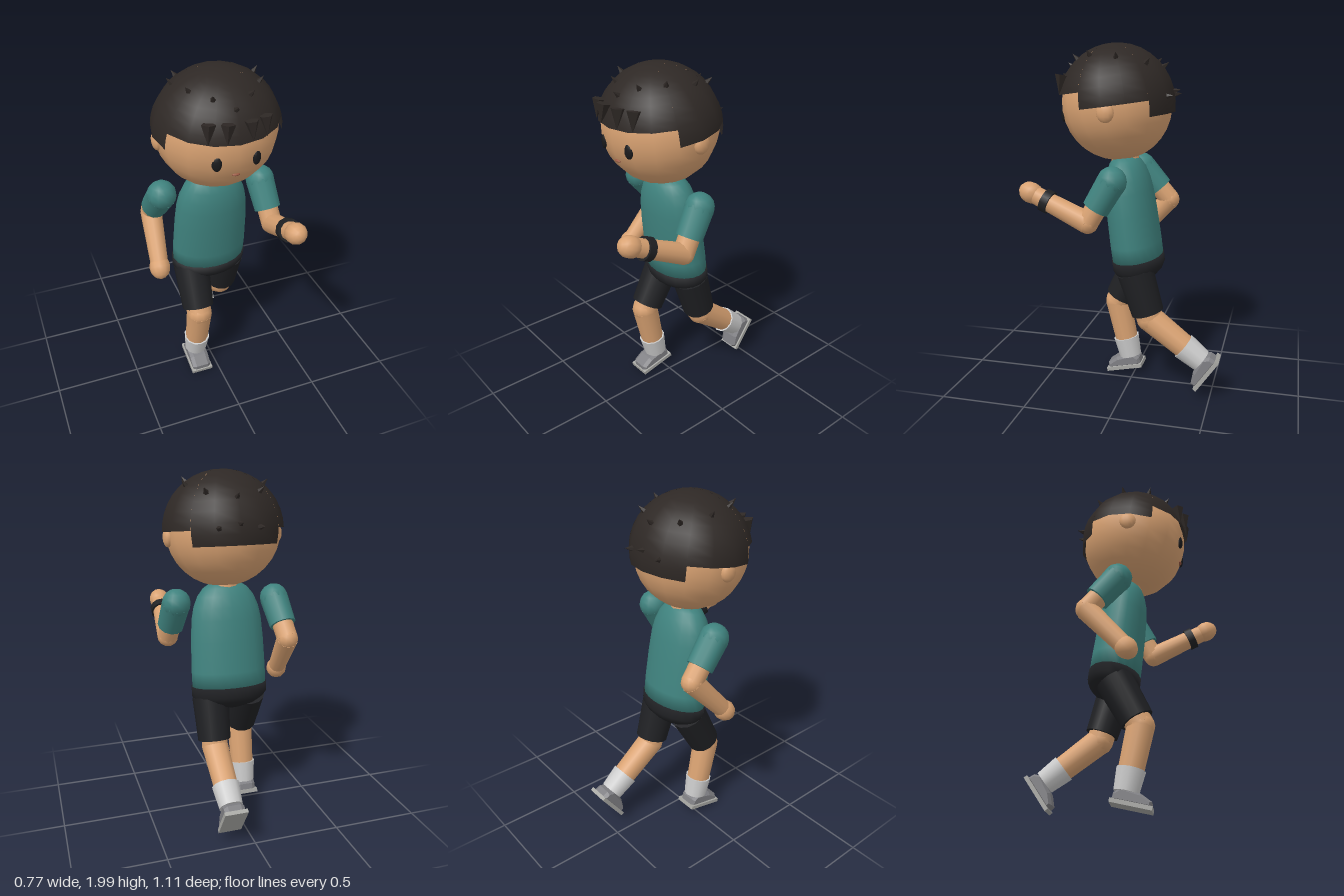
import * as THREE from 'three';

const COLORS = {
  skin: 0xd9a272, hair: 0x2e2825, shirt: 0x3f827e, shorts: 0x1f2023,
  sock: 0xe0e0dc, shoe: 0x808084, sole: 0xa8a8a4, dark: 0x1a1a1c, mouth: 0x9a5a44,
};
const MATS = {};
for (const key in COLORS) {
  MATS[key] = new THREE.MeshStandardMaterial({ color: COLORS[key], side: THREE.DoubleSide });
}
const spikeMat = new THREE.MeshStandardMaterial({ color: COLORS.hair, flatShading: true });

const V = (x, y, z) => new THREE.Vector3(x, y, z);
const UP = V(0, 1, 0);
const CX = 0.008;      // body centre line
const LEAN = 0.135;    // forward lean of torso and head

function add(parent, name, geo, mat, pos) {
  const m = new THREE.Mesh(geo, mat);
  m.name = name;
  if (pos) m.position.copy(pos);
  parent.add(m);
  return m;
}

// tapered cylinder from a to b
function limb(parent, name, a, b, ra, rb, mat, sides = 12) {
  const d = b.clone().sub(a);
  const m = add(parent, name, new THREE.CylinderGeometry(rb, ra, d.length(), sides), mat,
    a.clone().add(b).multiplyScalar(0.5));
  m.quaternion.setFromUnitVectors(UP, d.normalize());
  return m;
}

function ball(parent, name, p, rx, ry, rz, mat, w = 12, h = 8) {
  return add(parent, name, new THREE.SphereGeometry(1, w, h).scale(rx, ry, rz), mat, p);
}

function spike(parent, name, base, dir, r, len) {
  const d = dir.clone().normalize();
  const m = add(parent, name, new THREE.ConeGeometry(r, len, 5), spikeMat,
    base.clone().addScaledVector(d, len / 2));
  m.quaternion.setFromUnitVectors(UP, d);
}

function buildHead(root) {
  const c = V(CX, 1.67, 0.075);
  const head = new THREE.Group();
  head.name = 'head';
  head.position.copy(c);
  head.rotation.x = LEAN;
  root.add(head);
  ball(head, 'face', V(0, 0, 0), 0.328, 0.316, 0.31, MATS.skin, 16, 16);

  // hair cap in sectors, each ending at its own height: [start, end, rim height]
  const R = V(0.345, 0.33, 0.328);
  const sectors = [[22.5, 157.5, 0.088], [157.5, 225, 0], [225, 315, -0.085], [315, 382.5, 0]];
  for (const [from, to, y] of sectors) {
    const geo = new THREE.SphereGeometry(1, Math.round((to - from) / 22.5), 10,
      THREE.MathUtils.degToRad(from), THREE.MathUtils.degToRad(to - from), 0, Math.acos(y / R.y));
    add(head, 'hairCap', geo.scale(R.x, R.y, R.z), MATS.hair);
  }

  // ears, eyes, mouth
  for (const s of [-1, 1]) {
    ball(root, 'ear', V(CX + s * 0.318, 1.64, 0.06), 0.028, 0.053, 0.048, MATS.skin);
    const eye = ball(root, 'eye', V(CX + s * 0.107, 1.61, 0.357), 0.026, 0.041, 0.014, MATS.dark);
    eye.rotation.y = s * 0.35;
  }
  ball(root, 'mouth', V(CX, 1.53, 0.35), 0.022, 0.008, 0.012, MATS.mouth);

  // short spikes standing out from the cap: offsets [x, y, z] from the head centre
  const spots = [[0, 0.2, 0.26], [0, 0.21, -0.27], [0, 0.08, -0.36]];
  for (const s of [-1, 1]) {
    spots.push([s * 0.1, 0.25, 0.21], [s * 0.185, 0.26, 0.105], [s * 0.23, 0.26, -0.05],
      [s * 0.155, 0.23, -0.2], [s * 0.12, 0.05, -0.32]);
  }
  for (const [x, y, z] of spots) {
    const d = V(x, y, z);
    const k = 1 / Math.hypot(x / R.x, y / R.y, z / R.z);
    spike(root, 'hairSpike', c.clone().addScaledVector(d, k * 0.97), d, 0.018, 0.047);
  }
  // fringe tufts hanging over the forehead
  for (const s of [-1, 1]) {
    for (const [x, z] of [[0.06, 0.382], [0.147, 0.35]]) {
      spike(root, 'fringe', V(CX + s * x, 1.825, z), V(s * 0.008, -0.1, 0.016), 0.038, 0.105);
    }
  }
}

function buildTorso(root) {
  const torso = new THREE.Group();
  torso.name = 'torso';
  torso.position.set(CX, 0.78, -0.045);
  torso.rotation.x = LEAN;
  root.add(torso);
  const lathe = (name, pts, mat) => add(torso, name,
    new THREE.LatheGeometry(pts.map(p => new THREE.Vector2(...p)), 20).scale(1, 1, 0.66), mat);
  lathe('shirt', [[0, -0.01], [0.219, -0.01], [0.22, 0.1], [0.214, 0.28], [0.205, 0.4], [0.19, 0.47],
    [0.165, 0.53], [0.13, 0.575], [0.09, 0.6], [0, 0.605]], MATS.shirt);
  lathe('shortsHip', [[0, -0.125], [0.08, -0.12], [0.15, -0.1], [0.2, -0.07], [0.224, -0.04],
    [0.226, 0.015], [0, 0.015]], MATS.shorts);
  limb(torso, 'neck', V(0, 0.52, 0), V(0, 0.66, 0), 0.082, 0.08, MATS.skin);
}

function buildArm(root, name, shoulder, elbow, hand) {
  const arm = new THREE.Group();
  arm.name = name;
  root.add(arm);
  ball(arm, 'shoulder', shoulder, 0.083, 0.083, 0.083, MATS.shirt);
  const cuff = shoulder.clone().lerp(elbow, 0.66);
  limb(arm, 'sleeve', shoulder, cuff, 0.082, 0.076, MATS.shirt);
  limb(arm, 'upperArm', shoulder, elbow, 0.062, 0.06, MATS.skin);
  ball(arm, 'elbow', elbow, 0.061, 0.061, 0.061, MATS.skin);
  limb(arm, 'forearm', elbow, hand, 0.062, 0.05, MATS.skin);
  const fist = ball(arm, 'hand', hand, 0.06, 0.07, 0.06, MATS.skin);
  fist.quaternion.setFromUnitVectors(UP, hand.clone().sub(elbow).normalize());
  return arm;
}

function buildShoe(parent, pos, pitch) {
  const shoe = new THREE.Group();
  shoe.name = 'shoe';
  shoe.position.copy(pos);
  shoe.rotation.x = pitch;
  parent.add(shoe);
  add(shoe, 'sole', new THREE.BoxGeometry(0.132, 0.022, 0.222), MATS.sole, V(0, 0.011, 0));
  // side profile (length, height), extruded across the foot
  const side = new THREE.Shape([[-0.09, 0.025], [0.09, 0.025], [0.088, 0.038], [0.035, 0.062],
    [-0.065, 0.072], [-0.088, 0.05]].map(p => new THREE.Vector2(...p)));
  const upper = new THREE.ExtrudeGeometry(side,
    { depth: 0.075, bevelEnabled: true, bevelThickness: 0.021, bevelSize: 0.014, bevelSegments: 1 });
  upper.translate(0, 0, -0.0375).rotateY(-Math.PI / 2);
  add(shoe, 'upper', upper, MATS.shoe);
}

function buildLeg(root, name, hip, knee, ankle, sole, pitch) {
  const leg = new THREE.Group();
  leg.name = name;
  root.add(leg);
  const hem = hip.clone().lerp(knee, 0.87);
  limb(leg, 'shortsLeg', hip, hem, 0.106, 0.094, MATS.shorts, 14);
  limb(leg, 'thigh', hip, knee, 0.078, 0.077, MATS.skin);
  ball(leg, 'knee', knee, 0.078, 0.078, 0.078, MATS.skin);
  const sockTop = knee.clone().lerp(ankle, 0.66);
  limb(leg, 'shin', knee, sockTop, 0.077, 0.07, MATS.skin);
  limb(leg, 'sock', sockTop, ankle, 0.079, 0.068, MATS.sock);
  buildShoe(leg, sole, pitch);
}

export function createModel() {
  const root = new THREE.Group();
  root.name = 'runner';
  buildHead(root);
  buildTorso(root);

  // left arm swings forward and wears a wristband, right arm swings back
  const elbowL = V(0.318, 1.05, 0.165), handL = V(0.293, 1.195, 0.495);
  const armL = buildArm(root, 'leftArm', V(0.293, 1.275, 0.035), elbowL, handL);
  limb(armL, 'wristband', elbowL.clone().lerp(handL, 0.65), elbowL.clone().lerp(handL, 0.77),
    0.066, 0.066, MATS.shorts);
  buildArm(root, 'rightArm', V(-0.28, 1.275, 0), V(-0.3, 1.075, -0.17), V(-0.325, 0.825, 0.05));

  // right leg steps forward, left leg trails
  buildLeg(root, 'rightLeg', V(-0.106, 0.73, -0.035), V(-0.108, 0.46, 0.108),
    V(-0.108, 0.11, 0.03), V(-0.11, 0.029, 0.055), 0.22);
  buildLeg(root, 'leftLeg', V(0.124, 0.73, -0.055), V(0.124, 0.455, -0.14),
    V(0.124, 0.225, -0.445), V(0.125, 0.15, -0.488), 0.97);
  return root;
}
